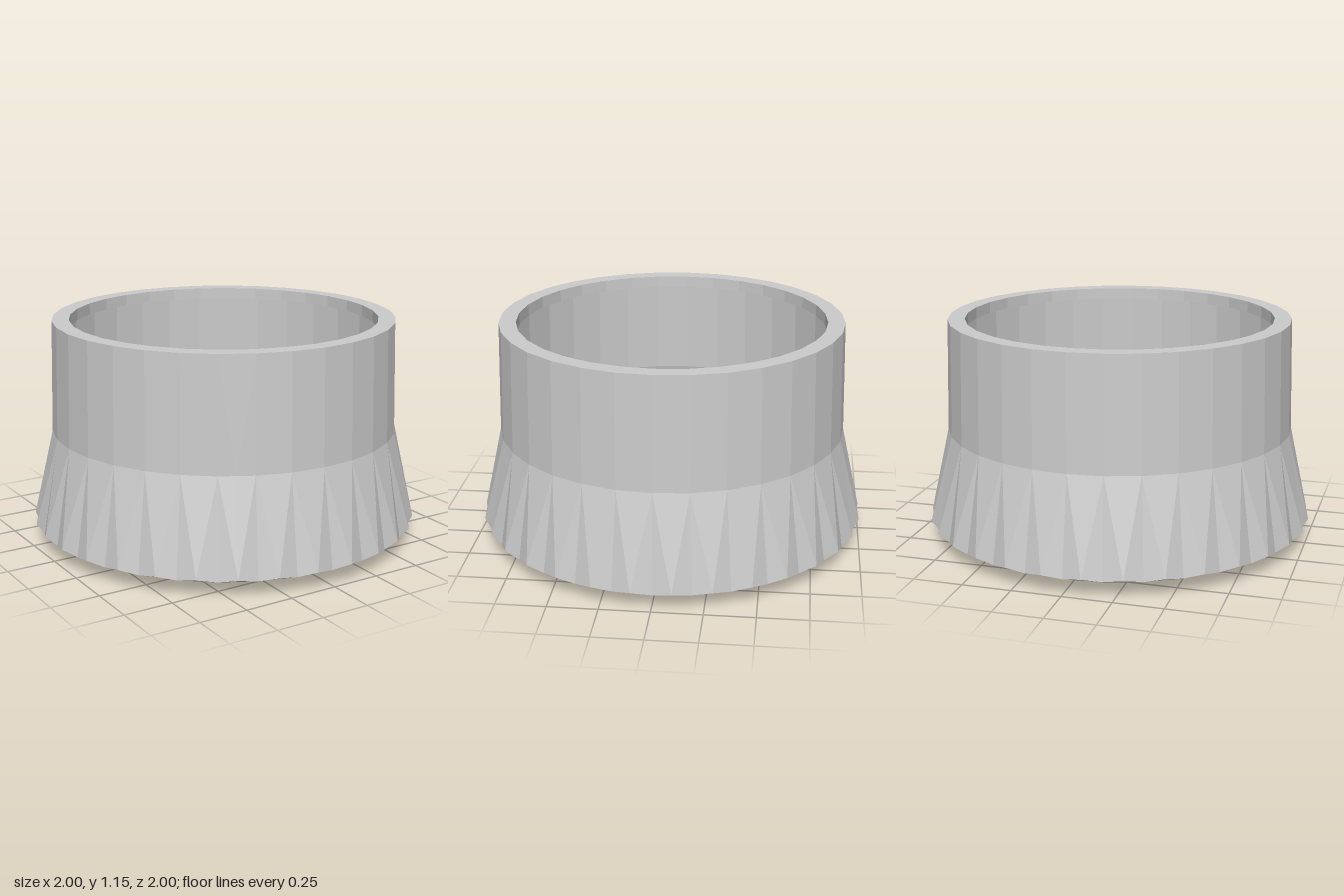
import * as THREE from 'three';

const SIDES = 32;
const COLUMNS = SIDES * 2; // corners on even columns, edge midpoints on odd ones

const material = new THREE.MeshStandardMaterial({
  color: 0xcccccc,
  flatShading: true,
  side: THREE.DoubleSide,
});

// One ring of points; odd columns may have their own radius and height.
function ring(radius, y, oddRadius = radius * Math.cos(Math.PI / SIDES), oddY = y) {
  return Array.from({ length: COLUMNS }, (_, i) => {
    const angle = (i / COLUMNS) * Math.PI * 2;
    const r = i % 2 ? oddRadius : radius;
    return [r * Math.sin(angle), i % 2 ? oddY : y, r * Math.cos(angle)];
  });
}

// Faceted band joining two rings, with mirrored diagonals on alternate columns.
function band(name, lower, upper) {
  const points = [];
  for (let i = 0; i < COLUMNS; i++) {
    const j = (i + 1) % COLUMNS;
    const [a, b, c, d] = [lower[i], lower[j], upper[j], upper[i]];
    points.push(...(i % 2 ? [a, b, c, a, c, d] : [a, b, d, b, c, d]));
  }
  const geometry = new THREE.BufferGeometry();
  geometry.setAttribute('position', new THREE.Float32BufferAttribute(points.flat(), 3));
  geometry.computeVertexNormals();
  const mesh = new THREE.Mesh(geometry, material);
  mesh.name = name;
  return mesh;
}

export function createModel() {
  const bottomHole = ring(0.797, 0.004);
  const scallopedEdge = ring(0.98, 0.083, 1.005, 0.1); // valleys, then peaks
  const shoulder = ring(0.897, 0.575);
  const topOuter = ring(0.882, 1.15);
  const topInner = ring(0.795, 1.15);
  const lipEnd = ring(0.795, 1.09);

  const group = new THREE.Group();
  group.name = 'flutedCollar';
  group.add(
    band('bottomBevel', bottomHole, scallopedEdge),
    band('flutedSkirt', scallopedEdge, shoulder),
    band('upperWall', shoulder, topOuter),
    band('topRim', topOuter, topInner),
    band('innerLip', topInner, lipEnd),
  );
  return group;
}
